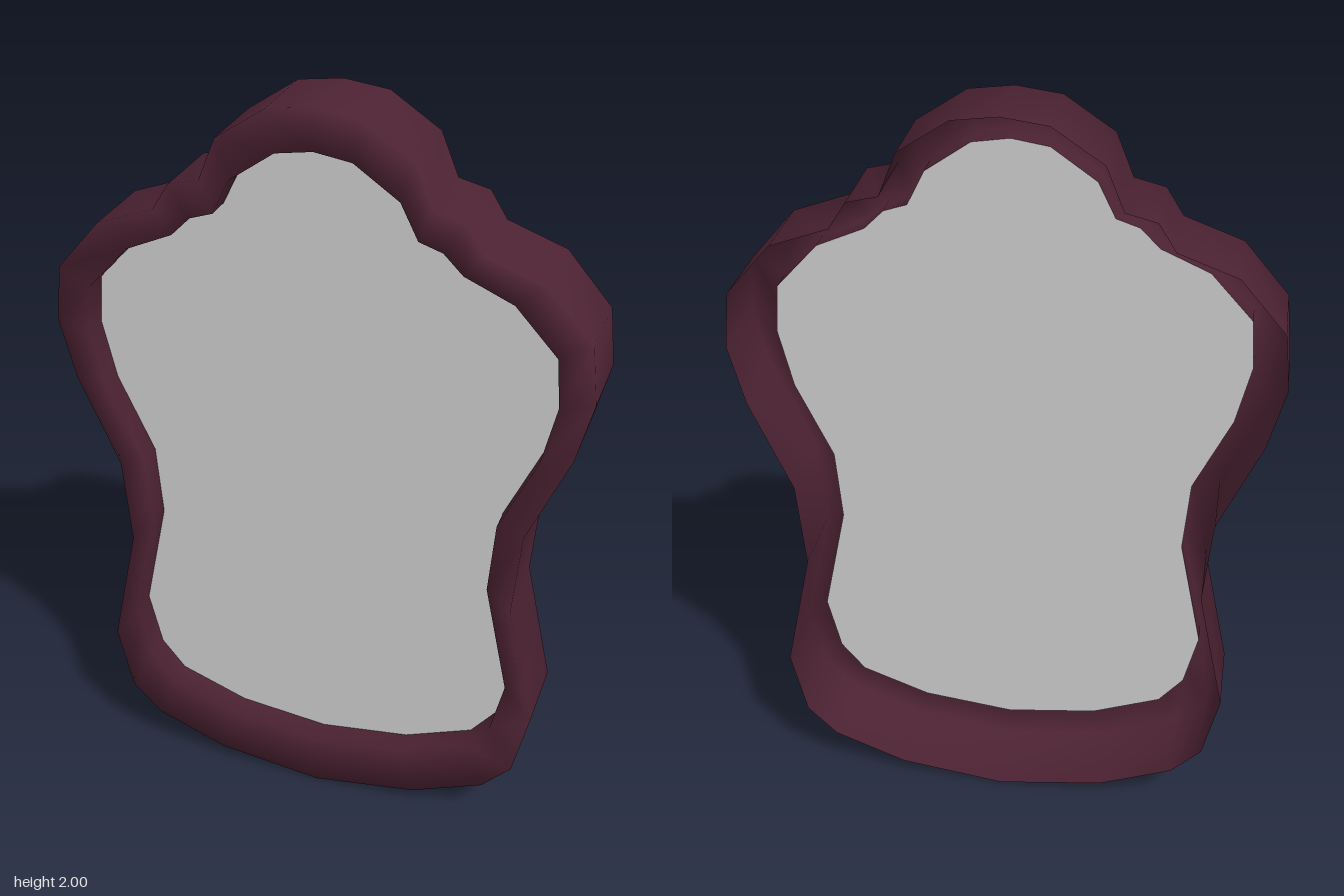
import * as THREE from 'three';

// Half contours from top centre, down the +x side, to bottom centre
const OUTER = [[0, 2], [0.115, 1.985], [0.243, 1.9], [0.288, 1.79], [0.368, 1.77], [0.412, 1.7],
  [0.563, 1.645], [0.68, 1.51], [0.697, 1.36], [0.657, 1.2], [0.55, 0.955], [0.53, 0.72],
  [0.604, 0.38], [0.563, 0.2], [0.483, 0.118], [0.287, 0.04], [0, 0]];
const INNER = [[0, 1.895], [0.095, 1.88], [0.21, 1.8], [0.255, 1.71], [0.315, 1.69], [0.365, 1.64],
  [0.49, 1.585], [0.6, 1.465], [0.61, 1.335], [0.575, 1.18], [0.48, 0.975], [0.465, 0.78],
  [0.53, 0.475], [0.495, 0.325], [0.43, 0.245], [0.245, 0.175], [0, 0.145]];
const HALF_DEPTH = 0.11;
const GLASS_Z = 0.04;

// Closes a half contour by mirroring it across x = 0
function mirrorLoop(half) {
  const otherSide = half.slice(1, -1).reverse().map(([x, y]) => [-x, y]);
  return [...half, ...otherSide];
}

// Moulding open at the back: deep outer wall, front face, short lip down to the glass
function frameGeometry() {
  const outer = mirrorLoop(OUTER), inner = mirrorLoop(INNER);
  const n = outer.length, rings = 4;
  const positions = [], indices = [];
  for (let i = 0; i < n; i++) {
    positions.push(...outer[i], -HALF_DEPTH, ...outer[i], HALF_DEPTH);
    positions.push(...inner[i], HALF_DEPTH, ...inner[i], GLASS_Z);
    for (let j = 0; j < rings - 1; j++) {
      const a = i * rings + j, b = ((i + 1) % n) * rings + j;
      indices.push(a, a + 1, b + 1, a, b + 1, b);
    }
  }
  const geometry = new THREE.BufferGeometry();
  geometry.setAttribute('position', new THREE.Float32BufferAttribute(positions, 3));
  geometry.setIndex(indices);
  geometry.computeVertexNormals();
  return geometry;
}

export function createModel() {
  const model = new THREE.Group();
  model.name = 'wallMirror';

  const frame = new THREE.Mesh(
    frameGeometry(),
    new THREE.MeshStandardMaterial({ color: 0x4c2232, side: THREE.DoubleSide })
  );
  frame.name = 'frame';
  model.add(frame);

  // Thin pane filling the inner contour, seen from front and back
  const pane = new THREE.Shape(mirrorLoop(INNER).map(([x, y]) => new THREE.Vector2(x, y)));
  const glass = new THREE.Mesh(
    new THREE.ShapeGeometry(pane),
    new THREE.MeshStandardMaterial({ color: 0xcccccc, side: THREE.DoubleSide })
  );
  glass.name = 'mirrorGlass';
  glass.position.z = GLASS_Z;
  model.add(glass);

  return model;
}
